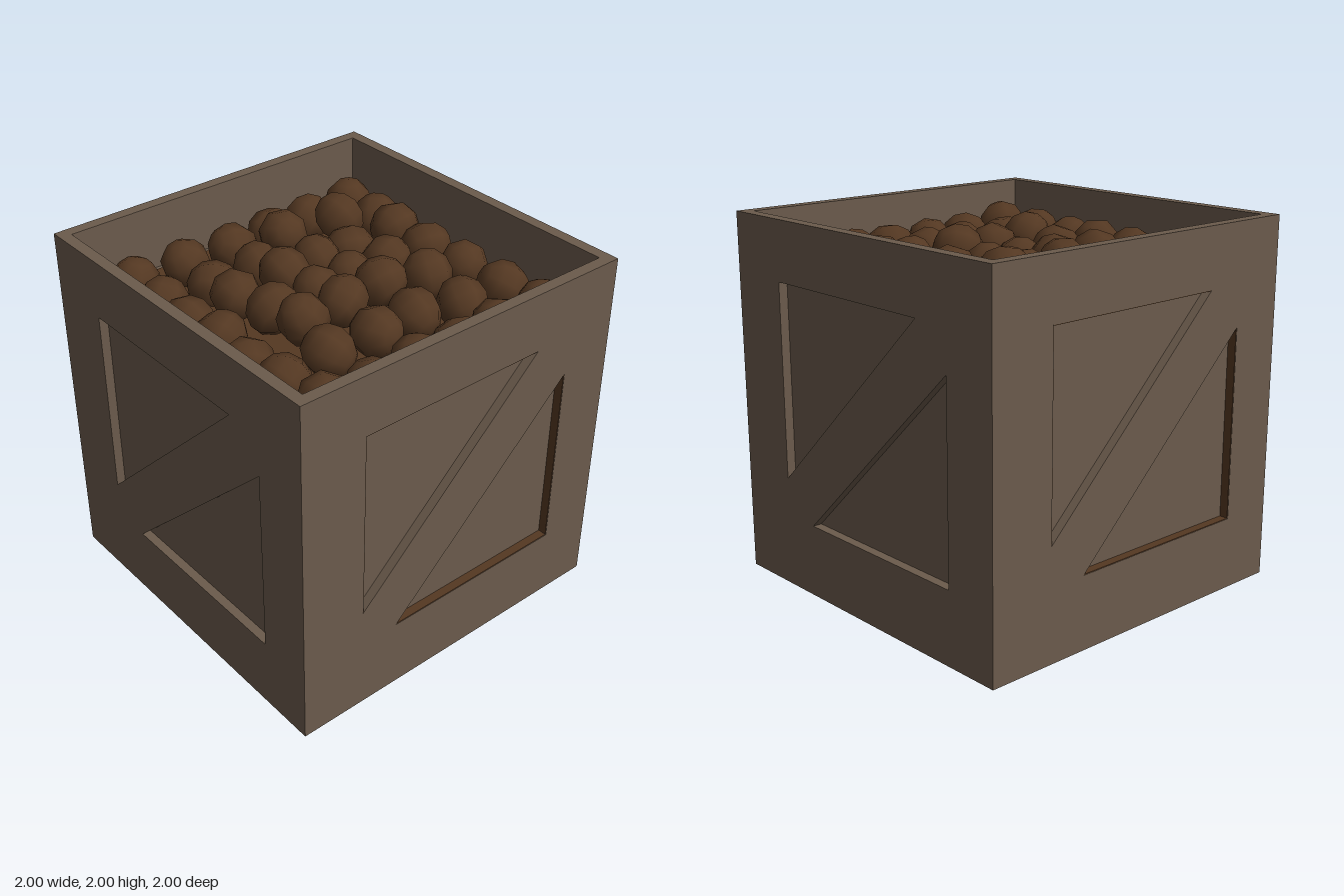
import * as THREE from 'three';

const wood = new THREE.MeshStandardMaterial({ color: 0x6b5b4c });
wood.name = 'weathered wood';
const brown = new THREE.MeshStandardMaterial({ color: 0x543822 });
brown.name = 'earthy brown';

// triangular recesses on either side of the diagonal brace (right-angle corner first)
const triangles = [
  [[-0.63, 0.675], [-0.63, -0.39], [0.475, 0.675]],
  [[0.69, -0.6], [0.69, 0.45], [-0.41, -0.6]],
];
const DEPTH = 0.05;

function addMesh(parent, geometry, material, name, x = 0, y = 0, z = 0) {
  const mesh = new THREE.Mesh(geometry, material);
  mesh.name = name;
  mesh.position.set(x, y, z);
  parent.add(mesh);
  return mesh;
}

// one crate side facing +z: braced frame, thin backing board, optional dark recess lining
function makePanel(name, halfWidth, halfHeight, lined) {
  const panel = new THREE.Group();
  panel.name = name;
  const w = halfWidth, h = halfHeight;
  const shape = new THREE.Shape([[-w, -h], [w, -h], [w, h], [-w, h]].map(p => new THREE.Vector2(...p)));
  for (const t of triangles) shape.holes.push(new THREE.Path([...t, t[0]].map(p => new THREE.Vector2(...p))));
  const frame = new THREE.ExtrudeGeometry(shape, { depth: DEPTH, bevelEnabled: false });
  addMesh(panel, frame, wood, 'bracedFrame', 0, 0, 1 - DEPTH);
  addMesh(panel, new THREE.BoxGeometry(1.9, h * 2, 0.015), wood, 'backingBoard', 0, 0, 0.9425);
  if (lined) {
    for (const [corner, upright, level] of triangles) {
      const s = Math.sign(corner[0]) * 0.002, t = Math.sign(corner[1]) * 0.002;
      const z = 1 - DEPTH / 2 - 0.001;
      addMesh(panel, new THREE.BoxGeometry(0.004, Math.abs(upright[1] - corner[1]) - 0.01, DEPTH - 0.002), brown,
        'uprightLining', corner[0] - s, (corner[1] + upright[1]) / 2, z);
      addMesh(panel, new THREE.BoxGeometry(Math.abs(level[0] - corner[0]) - 0.01, 0.004, DEPTH - 0.002), brown,
        'levelLining', (corner[0] + level[0]) / 2, corner[1] - t, z);
    }
  }
  return panel;
}

// rows of lumps from back to front: x, z and an optional lift for those lying on top
const rows = [
  [[-0.73, -0.73], [-0.48, -0.72], [-0.28, -0.68, 0.04], [-0.06, -0.71], [0.22, -0.72], [0.51, -0.72], [0.78, -0.72]],
  [[-0.72, -0.42], [-0.5, -0.47, 0.08], [-0.29, -0.37], [-0.05, -0.42, 0.02], [0.22, -0.46, 0.03], [0.5, -0.44], [0.76, -0.43]],
  [[-0.72, -0.17], [-0.54, -0.11, 0.08], [-0.31, -0.16], [-0.06, -0.18], [0.17, -0.18, 0.07], [0.45, -0.16, 0.02], [0.77, -0.16]],
  [[-0.71, 0.1], [-0.48, 0.1, -0.02], [-0.26, 0.1, 0.04], [-0.05, 0.05], [0.17, 0.07, 0.05], [0.46, 0.1, 0.02], [0.76, 0.11]],
  [[-0.72, 0.4], [-0.47, 0.4, -0.02], [-0.25, 0.42, 0.03], [-0.02, 0.36, 0.03], [0.21, 0.35, 0.07], [0.45, 0.39, 0.02], [0.78, 0.39]],
  [[-0.72, 0.72], [-0.46, 0.72], [-0.22, 0.73], [0.02, 0.71, 0.02], [0.27, 0.73], [0.52, 0.71, 0.02], [0.77, 0.68, 0.04]],
];

export function createModel() {
  const crate = new THREE.Group();
  crate.name = 'crate';

  // four walls
  ['frontWall', 'leftWall', 'backWall', 'rightWall'].forEach((name, i) => {
    const wall = makePanel(name, i % 2 ? 0.95 : 1, 1, i % 2 === 1);
    wall.position.y = 1;
    wall.rotation.y = i * Math.PI / 2;
    crate.add(wall);
  });

  // underside
  const base = makePanel('base', 0.95, 0.95, false);
  base.rotation.x = Math.PI / 2;
  base.position.y = 1;
  crate.add(base);

  // inner ledge and the bed the lumps rest on
  addMesh(crate, new THREE.BoxGeometry(1.87, 1.57, 1.87), wood, 'innerLedge', 0, 0.855, 0);
  addMesh(crate, new THREE.BoxGeometry(1.8, 0.01, 1.8), brown, 'bed', 0, 1.645, 0);

  // round lumps, each turned differently
  const lumps = new THREE.Group();
  lumps.name = 'lumps';
  const lump = new THREE.SphereGeometry(0.135, 8, 6);
  rows.flat().forEach(([x, z, lift = 0], i) => {
    const mesh = addMesh(lumps, lump, brown, 'lump', x, 1.735 + lift, z);
    mesh.rotation.set(i * 1.7, i * 2.3, i * 0.9);
    mesh.scale.set(1, 1.05, 1);
  });
  crate.add(lumps);

  return crate;
}
